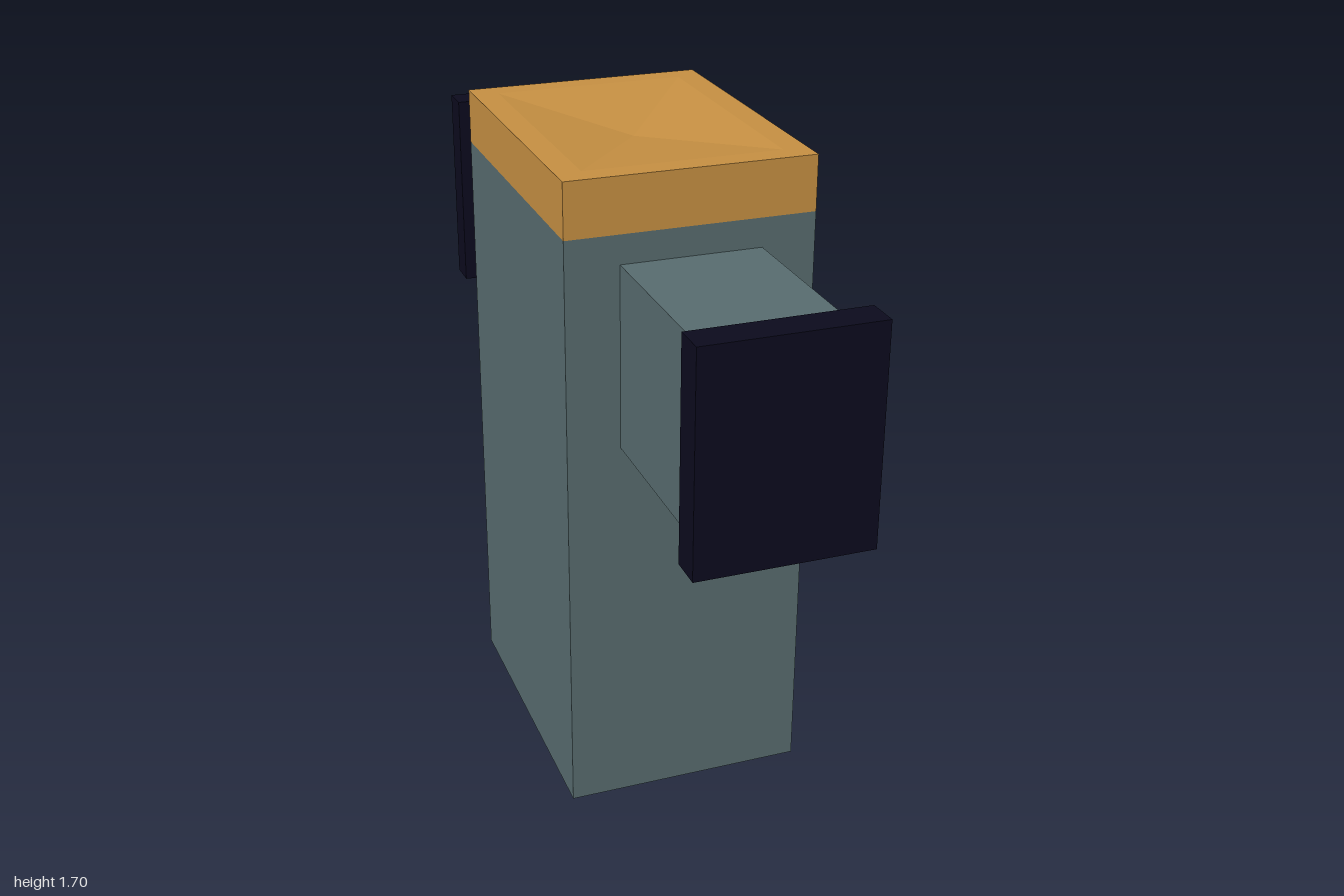
import * as THREE from 'three';

const bodyMat = new THREE.MeshStandardMaterial({ name: 'slate grey', color: 0x576b6e });
const capMat = new THREE.MeshStandardMaterial({ name: 'ochre', color: 0xc58f42 });
const plateMat = new THREE.MeshStandardMaterial({ name: 'dark navy', color: 0x0b0a1d });

function box(name, material, [w, h, d], [x, y, z]) {
  const mesh = new THREE.Mesh(new THREE.BoxGeometry(w, h, d), material);
  mesh.name = name;
  mesh.position.set(x, y, z);
  return mesh;
}

// Flat-faced skin through rectangular rings of [half width, y, half depth],
// closed at the end by an apex at height apexY
function rectLoft(rings, apexY) {
  const corners = rings.map(([x, y, z]) => [[-x, y, z], [x, y, z], [x, y, -z], [-x, y, -z]]);
  const points = [];
  for (let i = 0; i < rings.length; i++) {
    for (let j = 0; j < 4; j++) {
      const k = (j + 1) % 4;
      const a = corners[i][j], b = corners[i][k];
      if (i === rings.length - 1) {
        points.push(...a, ...b, 0, apexY, 0);
      } else {
        const c = corners[i + 1][k], d = corners[i + 1][j];
        points.push(...a, ...b, ...c, ...a, ...c, ...d);
      }
    }
  }
  const geometry = new THREE.BufferGeometry();
  geometry.setAttribute('position', new THREE.Float32BufferAttribute(points, 3));
  geometry.computeVertexNormals();
  return geometry;
}

export function createModel() {
  const model = new THREE.Group();
  model.name = 'pillarWithArms';

  // Main upright block
  model.add(box('body', bodyMat, [0.628, 1.56, 0.82], [0, 0.78, 0]));

  // Cap: straight sides, flat rim and a shallow sunken pyramid
  const cap = new THREE.Mesh(
    rectLoft([[0.314, 1.56, 0.41], [0.314, 1.7, 0.41], [0.25, 1.7, 0.35]], 1.66), capMat);
  cap.name = 'cap';
  model.add(cap);

  // Front and back arms with their end plates
  for (const [label, s] of [['front', 1], ['back', -1]]) {
    model.add(box(label + 'Arm', bodyMat, [0.356, 0.472, 0.505], [0, 1.25, s * 0.6625]));
    model.add(box(label + 'EndPlate', plateMat, [0.438, 0.55, 0.085], [0, 1.25, s * 0.9575]));
  }
  return model;
}
